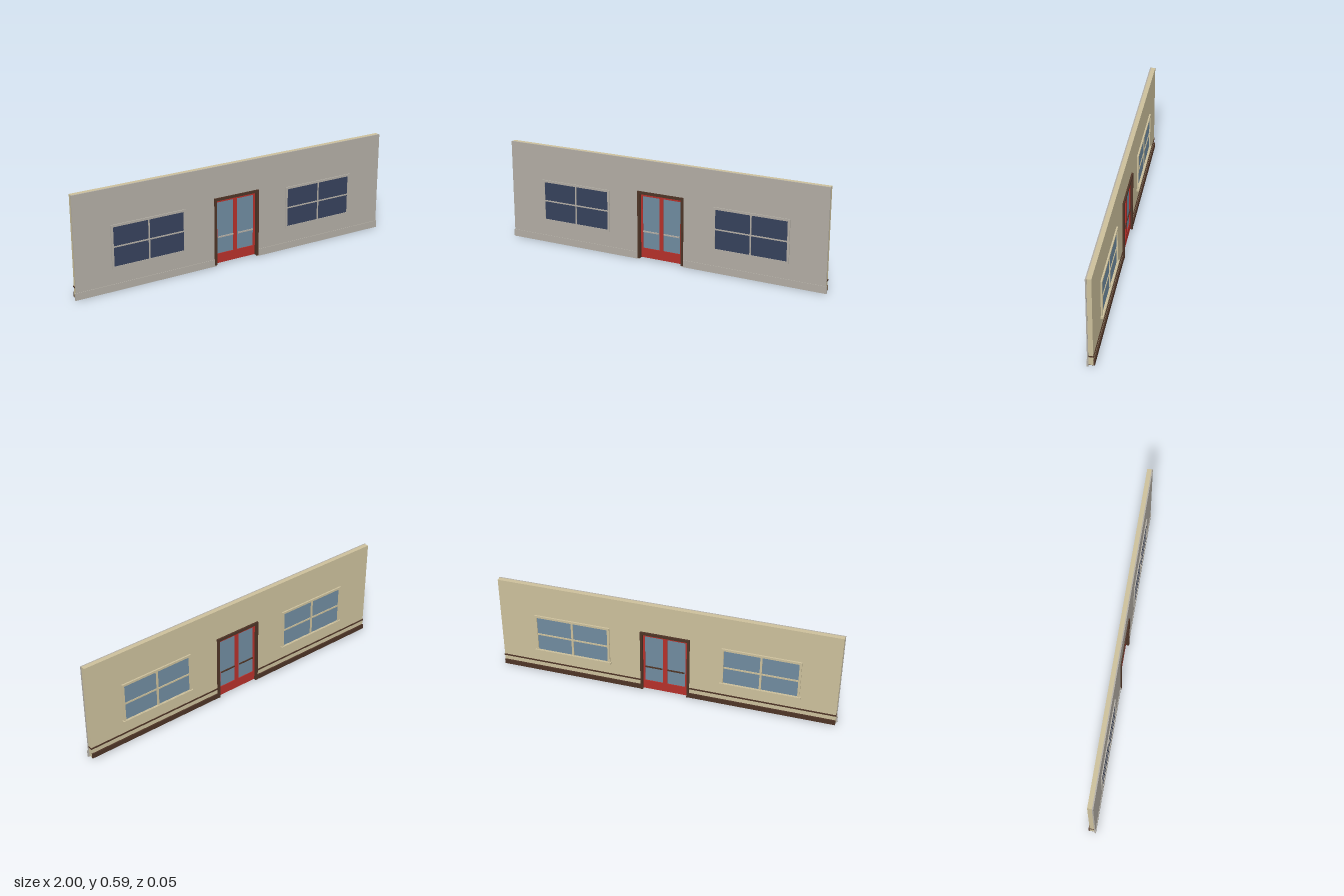
import * as THREE from 'three';

const mat = (name, color) => {
  const m = new THREE.MeshStandardMaterial({ color });
  m.name = name;
  return m;
};

export function createModel() {
  const grey = mat('outer render', 0xb2ada4);
  const tan = mat('inner plaster', 0xcbbf9b);
  const brown = mat('dark wood', 0x4d3426);
  const red = mat('door red', 0xb5302a);
  const navy = mat('outer window glass', 0x36415c);
  const blue = mat('pale glass', 0x6f8b9f);

  const model = new THREE.Group();
  model.name = 'wallSection';

  // Box given by its limits on each axis
  const box = (parent, name, m, x0, x1, y0, y1, z0, z1) => {
    const mesh = new THREE.Mesh(new THREE.BoxGeometry(x1 - x0, y1 - y0, z1 - z0), m);
    mesh.position.set((x0 + x1) / 2, (y0 + y1) / 2, (z0 + z1) / 2);
    mesh.name = name;
    parent.add(mesh);
  };

  // Four bars around a rectangle, w wide
  const border = (parent, name, m, x0, x1, y0, y1, w, z0, z1) => {
    box(parent, name, m, x0, x0 + w, y0, y1, z0, z1);
    box(parent, name, m, x1 - w, x1, y0, y1, z0, z1);
    box(parent, name, m, x0 + w, x1 - w, y0, y0 + w, z0, z1);
    box(parent, name, m, x0 + w, x1 - w, y1 - w, y1, z0, z1);
  };

  // Wall layer with a doorway notch
  const wallLayer = (name, m, half, bottom, z0, z1) => {
    const s = new THREE.Shape();
    [[-half, bottom], [-0.135, bottom], [-0.135, 0.4], [0.135, 0.4], [0.135, bottom],
      [half, bottom], [half, 0.594], [-half, 0.594]].forEach(([x, y], i) => (i ? s.lineTo(x, y) : s.moveTo(x, y)));
    const g = new THREE.ExtrudeGeometry(s, { depth: z1 - z0, bevelEnabled: false });
    g.translate(0, 0, z0);
    const mesh = new THREE.Mesh(g, m);
    mesh.name = name;
    model.add(mesh);
  };
  wallLayer('outerWall', grey, 0.996, 0.007, 0.013, 0.02);
  wallLayer('innerWall', tan, 0.993, 0.008, -0.012, 0.013);

  for (const side of [-1, 1]) {
    // Strips along the wall on each side of the doorway
    const strip = (name, m, a, b, y0, y1, z0, z1) =>
      box(model, name, m, Math.min(side * a, side * b), Math.max(side * a, side * b), y0, y1, z0, z1);
    strip('plinth', grey, 0.135, 1, 0, 0.042, 0.014, 0.023);
    strip('baseboard', brown, 0.14, 0.993, 0.007, 0.036, -0.02, -0.012);
    strip('wallUnderside', brown, 0.135, 0.993, 0.007, 0.009, -0.013, 0.013);
    strip('wallRail', brown, 0.14, 0.995, 0.065, 0.073, -0.016, 0.012);

    // Window: outer and inner faces
    const win = new THREE.Group();
    win.name = side > 0 ? 'leftWindow' : 'rightWindow';
    win.position.x = side * 0.555;
    model.add(win);
    box(win, 'outerGlass', navy, -0.214, 0.214, 0.145, 0.373, 0.019, 0.0235);
    border(win, 'outerCasing', grey, -0.226, 0.226, 0.132, 0.386, 0.013, 0.019, 0.026);
    box(win, 'outerMullion', grey, -0.004, 0.004, 0.145, 0.373, 0.022, 0.0265);
    box(win, 'outerCrossbar', grey, -0.214, 0.214, 0.255, 0.263, 0.022, 0.026);
    box(win, 'innerGlass', blue, -0.214, 0.214, 0.15, 0.381, -0.0145, -0.011);
    border(win, 'innerCasing', tan, -0.226, 0.226, 0.145, 0.394, 0.013, -0.021, -0.011);
    box(win, 'innerMullion', tan, -0.006, 0.006, 0.15, 0.381, -0.0185, -0.012);
    box(win, 'innerCrossbar', tan, -0.214, 0.214, 0.26, 0.27, -0.018, -0.012);
    box(win, 'innerSill', tan, -0.232, 0.232, 0.142, 0.157, -0.027, -0.011);

    // Door leaf with glazing and push bars
    const door = new THREE.Group();
    door.name = side > 0 ? 'leftDoorLeaf' : 'rightDoorLeaf';
    door.position.x = side * 0.0655;
    model.add(door);
    box(door, 'doorKickPanel', red, -0.065, 0.065, 0.01, 0.067, -0.008, 0.008);
    box(door, 'doorTopRail', red, -0.065, 0.065, 0.378, 0.396, -0.008, 0.008);
    for (const s of [-1, 1])
      box(door, 'doorStile', red, s * 0.0595 - 0.0055, s * 0.0595 + 0.0055, 0.067, 0.378, -0.008, 0.008);
    box(door, 'doorGlass', blue, -0.054, 0.054, 0.067, 0.378, -0.003, 0.003);
    box(door, 'outerPushBar', grey, -0.05, 0.05, 0.165, 0.173, 0.008, 0.013);
    box(door, 'innerPushBar', brown, -0.05, 0.05, 0.165, 0.173, -0.013, -0.008);

    // Door jamb
    strip('doorJamb', brown, 0.131, 0.145, 0.007, 0.41, -0.022, 0.027);
  }
  box(model, 'doorHead', brown, -0.131, 0.131, 0.394, 0.41, -0.022, 0.027);
  return model;
}
